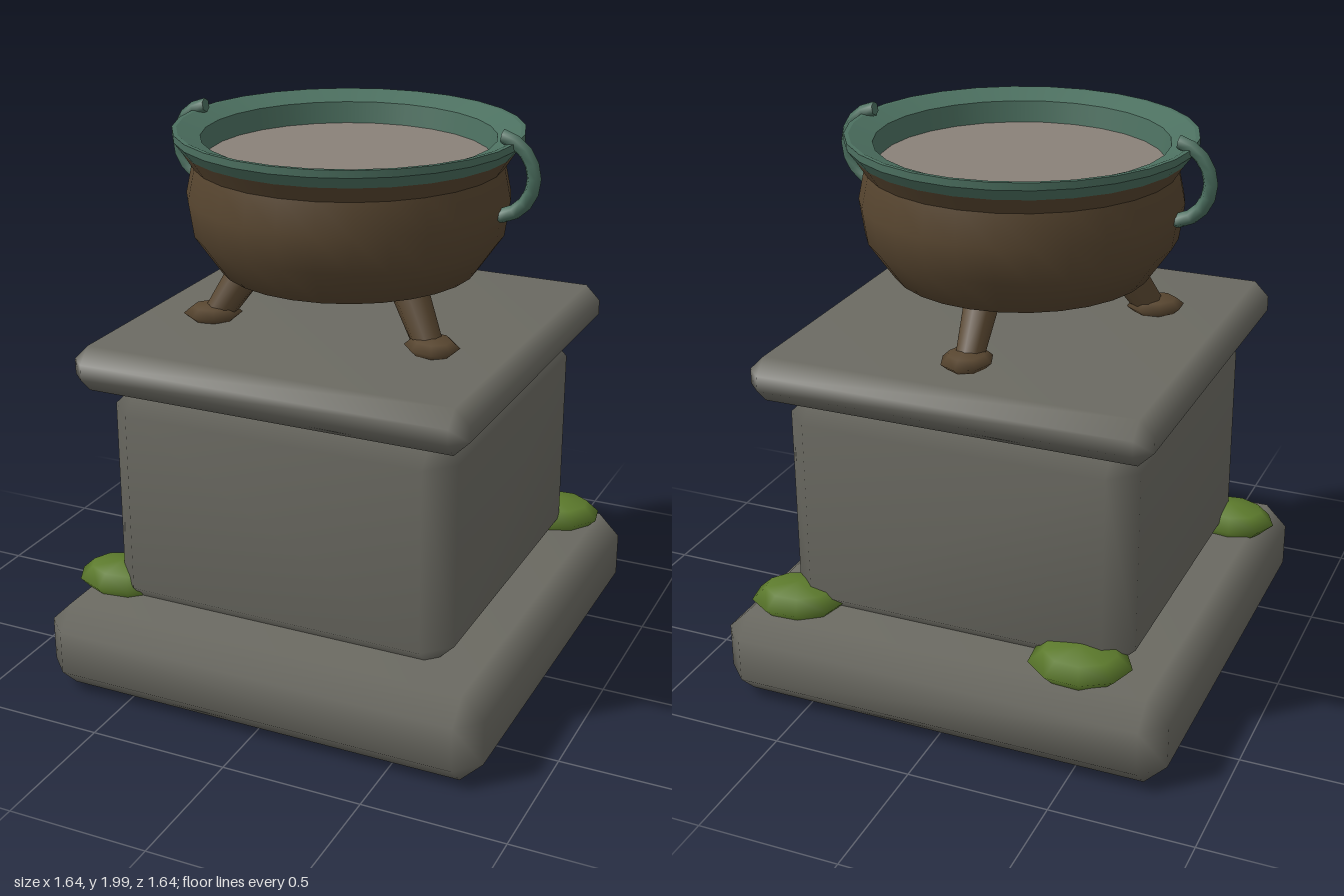
import * as THREE from 'three';
import { mergeVertices } from 'three/addons/utils/BufferGeometryUtils.js';
import { ConvexGeometry } from 'three/addons/geometries/ConvexGeometry.js';

const SIDES = 28;

function material(name, color) {
  const m = new THREE.MeshStandardMaterial({ color });
  m.name = name;
  return m;
}

// Box with every edge cut at 45 degrees, softly shaded
function chamferBox(half, y0, y1, c) {
  const h = [half, (y1 - y0) / 2, half];
  const points = [];
  for (const sx of [-1, 1]) for (const sy of [-1, 1]) for (const sz of [-1, 1]) {
    for (let axis = 0; axis < 3; axis++) {
      const p = h.map((v, i) => (i === axis ? v : v - c));
      points.push(new THREE.Vector3(sx * p[0], sy * p[1], sz * p[2]));
    }
  }
  let g = new ConvexGeometry(points);
  g.deleteAttribute('normal');
  g = mergeVertices(g, 1e-4);
  g.computeVertexNormals();
  g.translate(0, (y0 + y1) / 2, 0);
  return g;
}

const lathe = (pts) =>
  new THREE.LatheGeometry(pts.map(([r, y]) => new THREE.Vector2(r, y)), SIDES);

export function createModel() {
  const model = new THREE.Group();
  model.name = 'cauldronOnPedestal';
  const stone = material('stone', 0x6b6a62);
  const bronze = material('bronze', 0x584630);
  const patina = material('patina', 0x4c7060);
  const ash = material('ash', 0x8a8179);
  const moss = material('moss', 0x5c7a2c);

  const add = (name, geometry, mat, parent = model) => {
    const mesh = new THREE.Mesh(geometry, mat);
    mesh.name = name;
    parent.add(mesh);
    return mesh;
  };

  // Pedestal
  add('pedestalBase', chamferBox(0.82, 0, 0.32, 0.08), stone);
  add('pedestalBlock', chamferBox(0.635, 0.28, 1.12, 0.09), stone);
  add('pedestalSlab', chamferBox(0.715, 1.115, 1.275, 0.053), stone);

  // Bowl body and the flared neck under the rim
  add('bowlBody', lathe([
    [0, 1.38], [0.2, 1.395], [0.45, 1.465], [0.54, 1.595], [0.558, 1.72], [0.535, 1.83],
  ]), bronze);
  add('bowlNeck', lathe([[0.535, 1.83], [0.57, 1.885]]), bronze);

  // Rim, one band per face so its edges stay sharp
  const rim = new THREE.Group();
  rim.name = 'rim';
  model.add(rim);
  const profile = [
    [0.57, 1.885], [0.6, 1.925], [0.6, 1.95], [0.585, 1.95], [0.505, 1.92], [0.49, 1.835],
  ];
  for (let i = 0; i < profile.length - 1; i++) {
    add('rimBand', lathe([profile[i], profile[i + 1]]), patina, rim);
  }

  // Surface of the bowl's contents
  const fill = new THREE.CircleGeometry(0.495, SIDES);
  fill.rotateX(-Math.PI / 2);
  add('bowlFill', fill, ash).position.y = 1.845;

  // Ring handles, left and right
  for (const side of [1, -1]) {
    const handle = new THREE.Group();
    handle.name = side > 0 ? 'leftHandle' : 'rightHandle';
    handle.position.set(side * 0.53, 1.835, 0);
    handle.rotation.y = side > 0 ? 0 : Math.PI;
    model.add(handle);
    const start = -1.7, end = 1.4, ring = 0.136, tube = 0.025;
    const arc = new THREE.TorusGeometry(ring, tube, 6, 9, end - start);
    arc.rotateZ(start);
    add('handleArc', arc, patina, handle);
    const cap = new THREE.CircleGeometry(tube, 6);
    cap.rotateX(-Math.PI / 2);
    const top = add('handleEnd', cap, patina, handle);
    top.position.set(Math.cos(end) * ring, Math.sin(end) * ring, 0);
    top.rotation.z = end;
  }

  // Three splayed legs with flattened feet; local +z points outward
  for (let i = 0; i < 3; i++) {
    const leg = new THREE.Group();
    leg.name = 'leg';
    leg.rotation.y = Math.PI + (i * Math.PI * 2) / 3;
    model.add(leg);
    const from = new THREE.Vector3(0, 1.285, 0.465);
    const to = new THREE.Vector3(0, 1.48, 0.335);
    const dir = to.clone().sub(from);
    const shank = add('legShank', new THREE.CylinderGeometry(0.066, 0.05, dir.length(), 8), bronze, leg);
    shank.position.copy(from).add(to).multiplyScalar(0.5);
    shank.quaternion.setFromUnitVectors(new THREE.Vector3(0, 1, 0), dir.normalize());
    const foot = add('foot', new THREE.SphereGeometry(1, 8, 4), bronze, leg);
    foot.scale.set(0.088, 0.035, 0.103);
    foot.position.set(0, 1.297, 0.477);
  }

  // Moss clumps on the base: x, z, half width, half depth
  const clumps = [
    [-0.65, 0.53, 0.17, 0.13],
    [-0.475, -0.645, 0.18, 0.15],
    [0.595, -0.63, 0.17, 0.137],
  ];
  clumps.forEach(([x, z, rx, rz], i) => {
    const clump = add('mossClump', new THREE.SphereGeometry(1, 9, 4), moss);
    clump.scale.set(rx, 0.065, rz);
    clump.position.set(x, 0.347, z);
    clump.rotation.y = i * 0.1;
  });

  return model;
}
